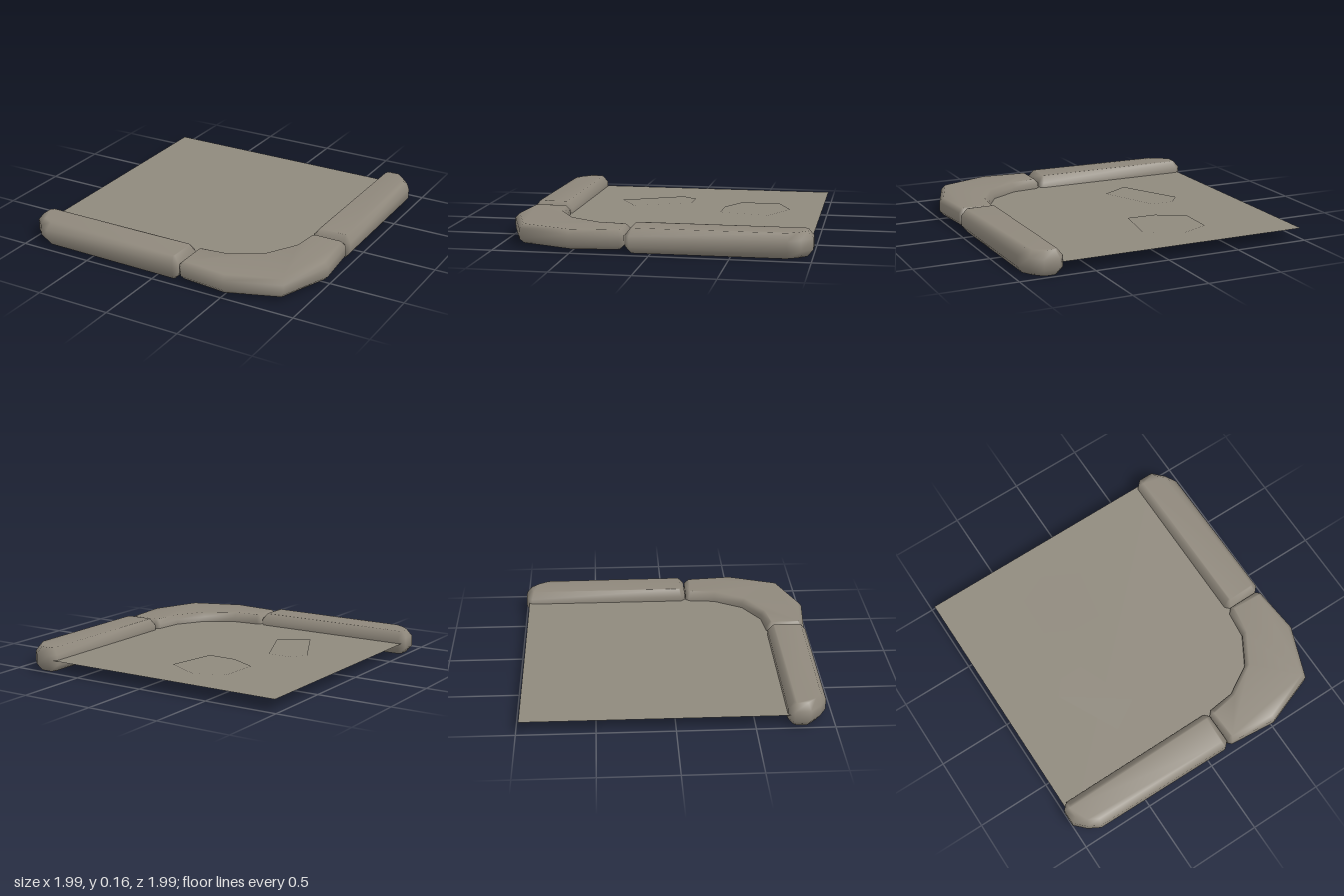
import * as THREE from 'three';

const stone = new THREE.MeshStandardMaterial({ color: 0x8f887c });
stone.name = 'stone';
const paving = new THREE.MeshStandardMaterial({ color: 0x8f897d, side: THREE.DoubleSide });
paving.name = 'paving';

// [x, z] pairs to plan points, counter-clockwise as seen from above
function plan(outline) {
  const pts = outline.map(([x, z]) => new THREE.Vector2(x, -z));
  return THREE.ShapeUtils.isClockWise(pts) ? pts.reverse() : pts;
}

// Moves every edge of a plan inwards by d
function inset(pts, d) {
  const n = pts.length;
  const normal = (a, b) => new THREE.Vector2(a.y - b.y, b.x - a.x).normalize();
  return pts.map((p, i) => {
    const n1 = normal(pts[(i + n - 1) % n], p);
    const n2 = normal(p, pts[(i + 1) % n]);
    const k = d / (1 + n1.dot(n2));
    return p.clone().add(n1.add(n2).multiplyScalar(k));
  });
}

// Smooth block with chamfered top and bottom rims
function chamferedBlock(outline, y0, y1, d, h) {
  const outer = plan(outline), inner = inset(outer, d), n = outer.length;
  const rings = [[inner, y0], [outer, y0 + h], [outer, y1 - h], [inner, y1]];
  const pos = [], idx = [];
  for (const [pts, y] of rings) for (const p of pts) pos.push(p.x, y, -p.y);
  for (let r = 0; r < 3; r++) {
    for (let i = 0; i < n; i++) {
      const a = r * n + i, b = r * n + (i + 1) % n;
      idx.push(a, b, b + n, a, b + n, a + n);
    }
  }
  for (const [a, b, c] of THREE.ShapeUtils.triangulateShape(inner, [])) {
    idx.push(a + 3 * n, b + 3 * n, c + 3 * n, a, c, b);
  }
  const geo = new THREE.BufferGeometry();
  geo.setAttribute('position', new THREE.Float32BufferAttribute(pos, 3));
  geo.setIndex(idx);
  geo.computeVertexNormals();
  return geo;
}

// Flat paving sheet at height y
function sheet(outline, y) {
  return new THREE.ShapeGeometry(new THREE.Shape(plan(outline))).rotateX(-Math.PI / 2).translate(0, y, 0);
}

const swap = ([x, z]) => [z, x];

export function createModel() {
  const group = new THREE.Group();
  const add = (name, geo, mat) => {
    const mesh = new THREE.Mesh(geo, mat);
    mesh.name = name;
    group.add(mesh);
  };

  // Straight kerbs, mirrored about the diagonal
  const kerb = [
    [-1, 0.74], [-1, 0.84], [-0.93, 0.91], [-0.85, 0.955], [0.13, 0.965],
    [0.16, 0.935], [0.16, 0.73], [0.13, 0.70], [-0.96, 0.70],
  ];
  add('frontKerb', chamferedBlock(kerb, 0, 0.16, 0.035, 0.045), stone);
  add('sideKerb', chamferedBlock(kerb.map(swap), 0, 0.16, 0.035, 0.045), stone);

  // Curved corner kerb: half outline plus its mirror image
  const half = [
    [0.37, 0.68], [0.19, 0.70], [0.165, 0.725], [0.165, 0.935], [0.19, 0.96], [0.51, 0.99],
  ];
  const corner = [[0.565, 0.565], ...half, [0.86, 0.86], ...half.map(swap).reverse()];
  add('cornerKerb', chamferedBlock(corner, 0.02, 0.145, 0.028, 0.03), stone);

  // Floor runs under the kerbs
  const floor = [
    [-0.98, -0.98], [0.83, -0.98], [0.83, 0.5], [0.72, 0.72], [0.5, 0.83], [-0.98, 0.83],
  ];
  add('floor', sheet(floor, 0.08), paving);

  // Two loose flagstones, just proud of the floor
  add('backFlagstone', sheet([
    [-0.45, -0.40], [-0.44, -0.67], [-0.24, -0.76], [0, -0.635], [-0.06, -0.295], [-0.26, -0.30],
  ], 0.083), paving);
  add('sideFlagstone', sheet([
    [-0.40, 0.46], [-0.61, 0.05], [-0.53, -0.05], [-0.37, -0.05], [-0.20, 0.34],
  ], 0.083), paving);

  return group;
}
